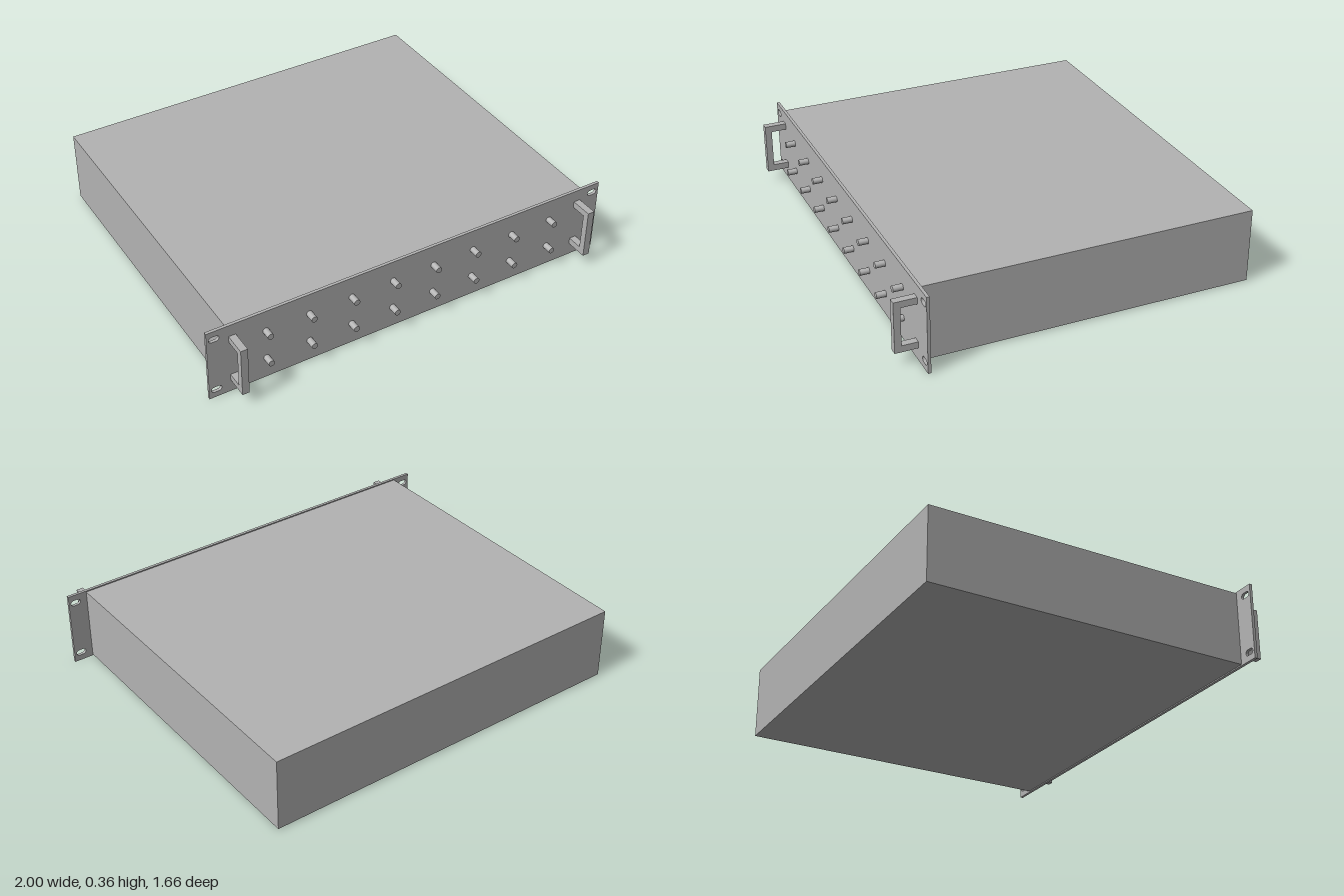
import * as THREE from 'three';

const grey = new THREE.MeshStandardMaterial({ color: 0xb3b3b3 });
grey.name = 'plain grey';

function add(parent, name, geometry, x, y, z) {
  const mesh = new THREE.Mesh(geometry, grey);
  mesh.name = name;
  mesh.position.set(x, y, z);
  parent.add(mesh);
  return mesh;
}

// Rounded slot, wider than tall, used as a mounting hole
function slot(cx, cy, halfLength, r) {
  const path = new THREE.Path();
  const d = halfLength - r;
  path.absarc(cx + d, cy, r, -Math.PI / 2, Math.PI / 2, false);
  path.absarc(cx - d, cy, r, Math.PI / 2, Math.PI * 1.5, false);
  path.closePath();
  return path;
}

export function createModel() {
  const model = new THREE.Group();
  model.name = 'rackUnit';

  const H = 0.362, backZ = -0.832, panelBack = 0.714, panelFront = 0.728;

  // Case body and rear plate
  const bodyBack = backZ + 0.008;
  const midY = H / 2;
  add(model, 'caseBody', new THREE.BoxGeometry(1.814, 0.351, panelBack - bodyBack),
    0, midY, (panelBack + bodyBack) / 2);
  add(model, 'rearPlate', new THREE.BoxGeometry(1.814, 0.351, 0.008), 0, midY, backZ + 0.004);

  // Front panel with four mounting slots
  const outline = new THREE.Shape();
  outline.moveTo(-1, 0).lineTo(1, 0).lineTo(1, H).lineTo(-1, H).closePath();
  for (const x of [-0.965, 0.965])
    for (const y of [0.042, 0.32]) outline.holes.push(slot(x, y, 0.024, 0.014));
  add(model, 'frontPanel', new THREE.ExtrudeGeometry(outline,
    { depth: panelFront - panelBack, bevelEnabled: false, curveSegments: 12 }), 0, 0, panelBack);

  // Handles: a square-cornered U, drawn as depth by height and extruded sideways
  const reach = 0.832 - panelFront, low = 0.062, high = 0.304, bar = 0.031;
  const u = new THREE.Shape();
  u.moveTo(0, low).lineTo(reach, low).lineTo(reach, high).lineTo(0, high)
    .lineTo(0, high - bar).lineTo(reach - bar, high - bar)
    .lineTo(reach - bar, low + bar).lineTo(0, low + bar).closePath();
  const handle = new THREE.ExtrudeGeometry(u, { depth: 0.033, bevelEnabled: false });
  handle.translate(0, 0, -0.0165).rotateY(-Math.PI / 2);
  for (const side of [-1, 1])
    add(model, side > 0 ? 'leftHandle' : 'rightHandle', handle, side * 0.882, 0, panelFront);

  // Two rows of eight round pegs
  const length = 0.773 - panelFront;
  const peg = new THREE.CylinderGeometry(0.0145, 0.0145, length, 24).rotateX(Math.PI / 2);
  const pegs = new THREE.Group();
  pegs.name = 'pegs';
  model.add(pegs);
  for (const y of [0.108, 0.258])
    for (let i = 0; i < 8; i++)
      add(pegs, 'peg', peg, (i - 3.5) * 0.2077, y, panelFront + length / 2);

  return model;
}
